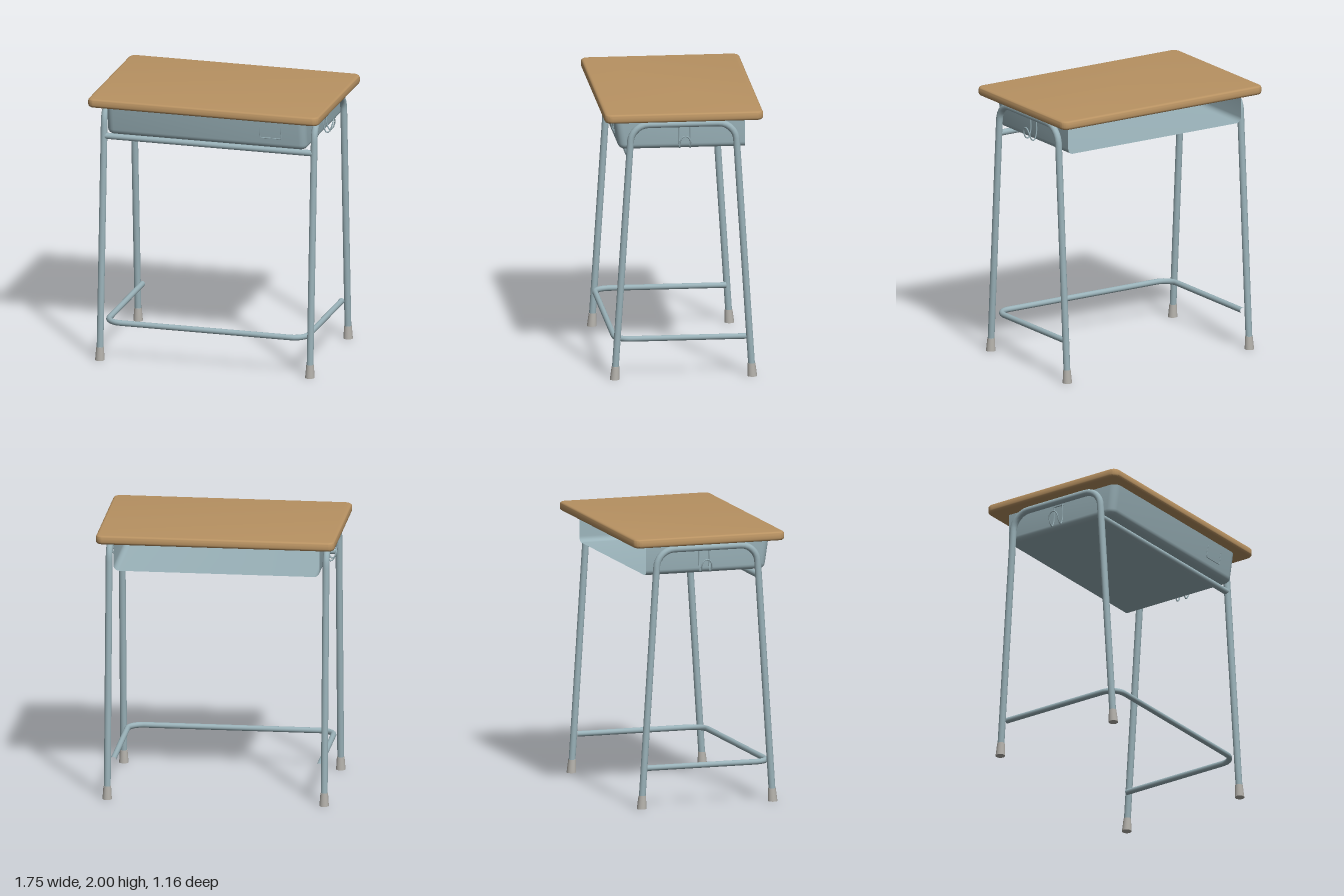
import * as THREE from 'three';
import { toCreasedNormals } from 'three/addons/utils/BufferGeometryUtils.js';

const V = (x, y, z) => new THREE.Vector3(x, y, z);
const paint = (color, side = THREE.FrontSide) => new THREE.MeshStandardMaterial({ color, side });

// Straight path with its inner corners rounded off
function roundedPath(points, trim) {
  const path = new THREE.CurvePath();
  let from = points[0];
  for (let i = 1; i < points.length - 1; i++) {
    const p = points[i];
    const toward = (q, d) => p.clone().add(q.clone().sub(p).setLength(d));
    const a = toward(points[i - 1], trim), b = toward(points[i + 1], trim);
    path.add(new THREE.LineCurve3(from, a));
    path.add(new THREE.CubicBezierCurve3(a, a.clone().lerp(p, 0.55), b.clone().lerp(p, 0.55), b));
    from = b;
  }
  path.add(new THREE.LineCurve3(from, points[points.length - 1]));
  return path;
}

// Wooden slab with rounded corners and edges
function topGeometry() {
  const b = 0.02, w = 0.875 - b, d = 0.58 - b, r = 0.035;
  const s = new THREE.Shape();
  s.absarc(w - r, d - r, r, 0, Math.PI / 2);
  s.absarc(-w + r, d - r, r, Math.PI / 2, Math.PI);
  s.absarc(-w + r, -d + r, r, Math.PI, Math.PI * 1.5);
  s.absarc(w - r, -d + r, r, Math.PI * 1.5, Math.PI * 2);
  const g = new THREE.ExtrudeGeometry(s, {
    depth: 0.065 - 2 * b, bevelThickness: b, bevelSize: b, bevelSegments: 4, curveSegments: 6,
  });
  g.rotateX(-Math.PI / 2).translate(0, 1.935 + b, 0);
  return toCreasedNormals(g, 0.6);
}

// Book tray: U-shaped plan outlines stacked downwards, open at the back and top
function trayGeometry() {
  const levels = [[1.935, 0, 0.5], [1.75, 0, 0.472]]; // height, inset, front z
  for (let i = 1; i <= 5; i++) {
    const a = (i / 5) * Math.PI / 2;
    levels.push([1.75 - 0.04 * Math.sin(a), 0.04 * (1 - Math.cos(a)), 0.472 - 0.005 * i / 5]);
  }
  const steps = 5, n = 2 * (steps + 2);
  const pos = [], idx = [];
  for (const [y, inset, front] of levels) {
    const w = 0.755 - inset, f = front - inset, r = 0.055 - inset;
    const half = [[w, -0.455]];
    for (let i = 0; i <= steps; i++) {
      const a = (i / steps) * Math.PI / 2;
      half.push([w - r + r * Math.cos(a), f - r + r * Math.sin(a)]);
    }
    for (const [x, z] of half) pos.push(x, y, z);
    for (const [x, z] of half.reverse()) pos.push(-x, y, z);
  }
  for (let l = 0; l < levels.length - 1; l++) {
    for (let i = 0; i < n - 1; i++) {
      const a = l * n + i, c = a + n;
      idx.push(a, a + 1, c, a + 1, c + 1, c);
    }
  }
  // floor, joining mirrored points
  const o = (levels.length - 1) * n;
  for (let i = 0; i < n / 2 - 1; i++) {
    const a = o + i, b = o + n - 1 - i;
    idx.push(a, a + 1, b, a + 1, b - 1, b);
  }
  const g = new THREE.BufferGeometry();
  g.setAttribute('position', new THREE.Float32BufferAttribute(pos, 3));
  g.setIndex(idx);
  return toCreasedNormals(g.toNonIndexed(), 0.6);
}

export function createModel() {
  const model = new THREE.Group();
  const wood = paint(0xb89262), steel = paint(0x9ab2b9);
  const sheet = paint(0x9ab2b9, THREE.DoubleSide), rubber = paint(0xb5b2ac);
  const add = (name, geometry, material) => {
    const mesh = new THREE.Mesh(geometry, material);
    mesh.name = name;
    model.add(mesh);
    return mesh;
  };
  const tube = (name, path, segments, radius, sides = 14) =>
    add(name, new THREE.TubeGeometry(path, segments, radius, sides), steel);

  add('tableTop', topGeometry(), wood);
  add('bookTray', trayGeometry(), sheet);

  // Card holder on the tray front: a thin U frame
  const frontAt = y => 0.472 + (y - 1.75) * 0.028 / 0.185 + 0.003;
  const holder = [[0.41, 1.88], [0.41, 1.79], [0.57, 1.79], [0.57, 1.88]].map(([x, y]) => V(x, y, frontAt(y)));
  tube('cardHolder', roundedPath(holder, 0.008), 40, 0.004, 6);

  for (const side of [-1, 1]) {
    const label = side > 0 ? 'left' : 'right';
    const x = side * 0.795;

    // Both legs and the top bar are one bent tube
    const arch = [V(x, 0.03, 0.502), V(x, 1.905, 0.38), V(x, 1.905, -0.38), V(x, 0.03, -0.502)];
    tube(label + 'LegFrame', roundedPath(arch, 0.125), 140, 0.025);

    // Rubber feet, tilted with the legs but cut flat at the ground
    for (const end of [-1, 1]) {
      const foot = new THREE.CylinderGeometry(0.028, 0.035, 0.097, 16);
      foot.translate(0, 0.0485, 0);
      const p = foot.attributes.position;
      for (let i = 0; i < p.count; i++) p.setZ(i, p.getZ(i) - end * 0.065 * p.getY(i));
      add(label + (end > 0 ? 'Front' : 'Rear') + 'Foot', foot, rubber).position.set(x, 0, end * 0.504);
    }

    // Bag hook: down beside the tray, out under the bar and up to a rounded loop
    const hook = [[0.764, 1.89, 0.027], [0.764, 1.77, 0.027], [0.785, 1.725, 0.027], [0.806, 1.735, 0.027],
      [0.826, 1.785, 0.025], [0.829, 1.81, 0.01]];
    const loop = [...hook, [0.829, 1.818, -0.011], ...hook.map(([a, b, c]) => [a, b, -0.022 - c]).reverse()];
    const curve = new THREE.CatmullRomCurve3(loop.map(([a, b, c]) => V(side * a, b, c)));
    tube(label + 'BagHook', curve, 70, 0.005, 6);
    const plate = add(label + 'HookPlate', new THREE.BoxGeometry(0.012, 0.012, 0.085), steel);
    plate.position.set(side * 0.761, 1.888, -0.011);
  }

  // Rail under the tray front
  tube('upperRail', new THREE.LineCurve3(V(-0.785, 1.675, 0.395), V(0.785, 1.675, 0.395)), 1, 0.023);

  // Foot rail bent round the front, ending at the rear legs
  const rail = [V(-0.755, 0.29, -0.475), V(-0.755, 0.29, 0.495), V(0.755, 0.29, 0.495), V(0.755, 0.29, -0.475)];
  tube('footRail', roundedPath(rail, 0.11), 120, 0.021);

  return model;
}
